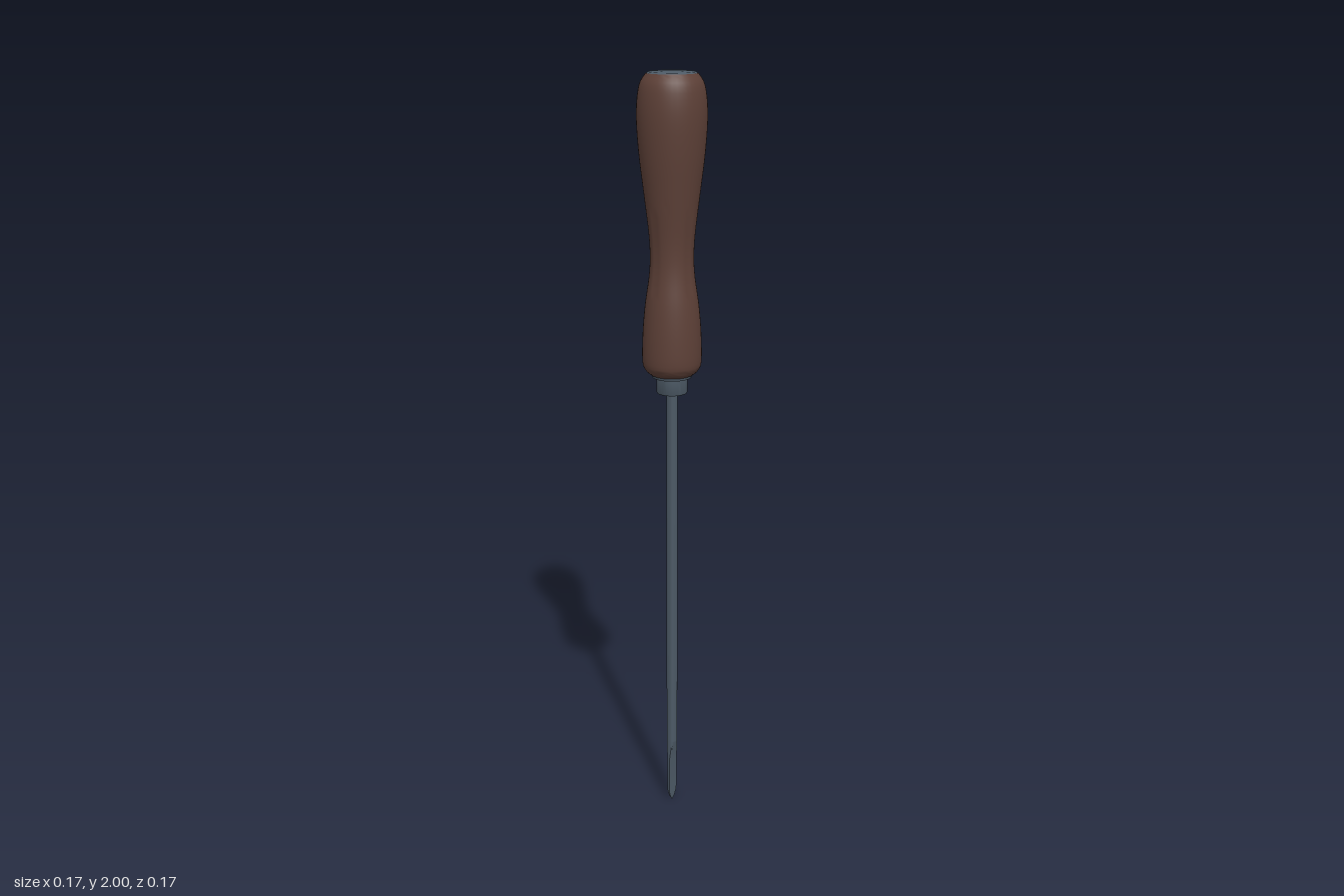
import * as THREE from 'three';
import { toCreasedNormals } from 'three/addons/utils/BufferGeometryUtils.js';

const wood = new THREE.MeshStandardMaterial({ color: 0x5d4037 });
wood.name = 'darkWood';
const steel = new THREE.MeshStandardMaterial({ color: 0x4d5a66 });
steel.name = 'blueGreySteel';

const vectors = (pairs) => pairs.map(([r, y]) => new THREE.Vector2(r, y));

function addPart(group, name, geometry, material) {
  const mesh = new THREE.Mesh(toCreasedNormals(geometry, 0.6), material);
  mesh.name = name;
  group.add(mesh);
}

export function createModel() {
  const group = new THREE.Group();
  group.name = 'screwdriver';

  // Turned handle: broad pommel, narrow waist, rounded lower end
  const curve = new THREE.SplineCurve(vectors([
    [0.055, 1.25], [0.068, 1.262], [0.0755, 1.285], [0.074, 1.36],
    [0.068, 1.43], [0.058, 1.5], [0.055, 1.55], [0.058, 1.61],
    [0.07, 1.71], [0.082, 1.81], [0.087, 1.9], [0.08, 1.965], [0.063, 1.994],
  ]));
  const profile = [new THREE.Vector2(0, 1.25), ...curve.getPoints(48)];
  addPart(group, 'handle', new THREE.LatheGeometry(profile, 40), wood);

  // Slightly domed cap on the pommel
  addPart(group, 'endCap', new THREE.LatheGeometry(vectors([
    [0.063, 1.993], [0.058, 1.997], [0.035, 1.999], [0, 2],
  ]), 40), steel);

  // Stepped collar below the handle
  addPart(group, 'ferrule', new THREE.LatheGeometry(vectors([
    [0, 1.2], [0.038, 1.2], [0.04, 1.203], [0.04, 1.242],
    [0.05, 1.242], [0.052, 1.246], [0.052, 1.254], [0, 1.254],
  ]), 32), steel);

  // Round shaft
  const shaft = new THREE.CylinderGeometry(0.0145, 0.0145, 1.015, 24, 1, true);
  shaft.translate(0, 0.6975, 0);
  addPart(group, 'shaft', shaft, steel);

  // Flattened tip: the round section is clamped to [height, half width, half thickness]
  const rows = [
    [0.19, 0.0145, 0.0145], [0.16, 0.0145, 0.0085], [0.13, 0.0145, 0.004],
    [0.03, 0.0145, 0.003], [0.012, 0.008, 0.002], [0, 0.001, 0.001],
  ];
  const tip = new THREE.CylinderGeometry(0.0145, 0.0145, 1, 24, rows.length - 1);
  const p = tip.attributes.position;
  for (let i = 0; i < p.count; i++) {
    const row = Math.round((0.5 - p.getY(i)) * (rows.length - 1));
    const [y, w, t] = rows[row];
    p.setXYZ(i,
      THREE.MathUtils.clamp(p.getX(i), -w, w), y,
      THREE.MathUtils.clamp(p.getZ(i), -t, t));
  }
  addPart(group, 'bladeTip', tip, steel);

  return group;
}
